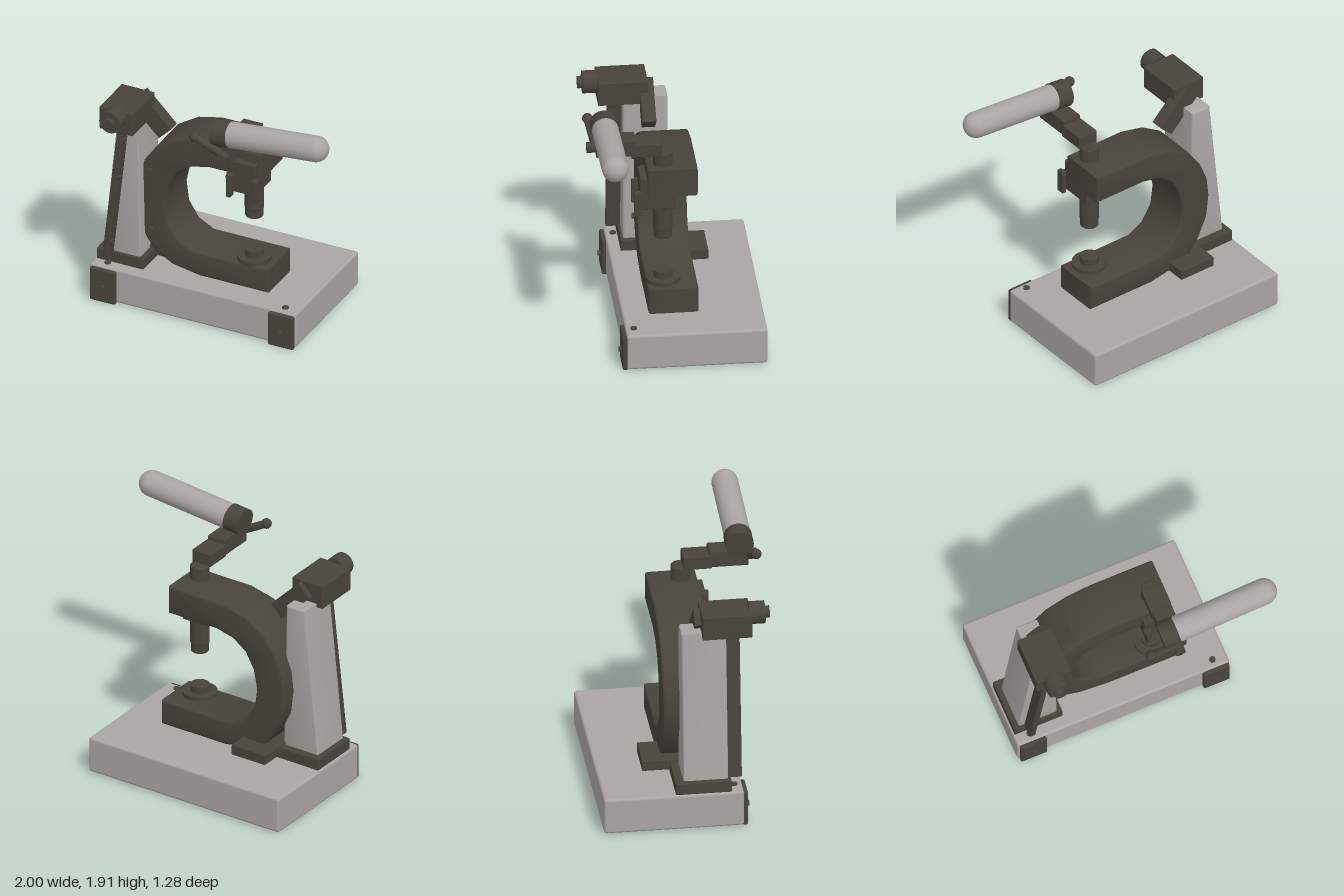
import * as THREE from 'three';
import { toCreasedNormals } from 'three/addons/utils/BufferGeometryUtils.js';
import { RoundedBoxGeometry } from 'three/addons/geometries/RoundedBoxGeometry.js';

export function createModel() {
  const group = new THREE.Group();
  const light = new THREE.MeshStandardMaterial({ color: 0xaaa5a2 });
  light.name = 'light grey';
  const dark = new THREE.MeshStandardMaterial({ color: 0x48433b });
  dark.name = 'dark grey';

  function add(name, geometry, material = dark) {
    const mesh = new THREE.Mesh(geometry, material);
    mesh.name = name;
    group.add(mesh);
    return mesh;
  }

  // Box given by its extents, with softly rounded edges
  function box(name, [x0, x1], [y0, y1], [z0, z1], material = dark, r = 0.006) {
    const mesh = add(name, new RoundedBoxGeometry(x1 - x0, y1 - y0, z1 - z0, 2, r), material);
    mesh.position.set((x0 + x1) / 2, (y0 + y1) / 2, (z0 + z1) / 2);
    return mesh;
  }

  // Cylinder running between two points
  function rod(name, a, b, r, material = dark, sides = 32) {
    const from = new THREE.Vector3(...a), to = new THREE.Vector3(...b);
    const axis = to.clone().sub(from);
    const mesh = add(name, new THREE.CylinderGeometry(r, r, axis.length(), sides), material);
    mesh.position.copy(from).add(to).multiplyScalar(0.5);
    mesh.quaternion.setFromUnitVectors(new THREE.Vector3(0, 1, 0), axis.normalize());
    return mesh;
  }

  // Front outline extruded between two depths with rounded edges
  function slab(name, points, z0, z1, material, bevel) {
    const shape = new THREE.Shape(points.map(p => new THREE.Vector2(...p)));
    const geometry = new THREE.ExtrudeGeometry(shape, {
      depth: z1 - z0 - 2 * bevel, bevelEnabled: true, bevelThickness: bevel,
      bevelSize: bevel, bevelOffset: -bevel, bevelSegments: 3
    });
    geometry.translate(0, 0, z0 + bevel);
    return add(name, toCreasedNormals(geometry, 0.6), material);
  }

  // Base with corner brackets and screws
  box('base', [-1, 0.68], [0.01, 0.29], [-0.64, 0.39], light, 0.02);
  for (const x of [-0.88, 0.567]) {
    box('cornerBracket', [x - 0.103, x + 0.103], [0.003, 0.275], [0.38, 0.42], dark, 0.012);
    rod('bracketScrew', [x, 0.13, 0.4], [x, 0.13, 0.44], 0.021, dark, 20);
    rod('baseScrew', [x, 0.28, 0.33], [x, 0.301, 0.33], 0.024, dark, 20);
  }

  // C-shaped frame, outer edge then inner edge
  slab('frame', [
    [0.36, 0.29], [0.36, 0.485], [-0.26, 0.485], [-0.38, 0.55], [-0.46, 0.675],
    [-0.48, 0.835], [-0.45, 0.985], [-0.38, 1.11], [-0.27, 1.19], [-0.125, 1.225],
    [0.30, 1.225], [0.30, 1.445], [-0.19, 1.445], [-0.385, 1.40], [-0.545, 1.30],
    [-0.65, 1.15], [-0.71, 1.0], [-0.727, 0.84], [-0.705, 0.66], [-0.63, 0.50],
    [-0.55, 0.40], [-0.42, 0.33], [-0.2, 0.29]
  ], -0.17, 0.2, dark, 0.018);
  for (const [x, y] of [[0.025, 1.325], [-0.605, 1.075], [-0.595, 0.585]]) {
    rod('frameBolt', [x, y, 0.19], [x, y, 0.222], 0.023, dark, 20);
  }
  box('frameFoot', [-0.655, -0.36], [0.322, 0.403], [-0.315, 0.12]);

  // Tapered column on its foot plate
  box('columnPlate', [-0.985, -0.605], [0.285, 0.377], [-0.11, 0.3]);
  slab('column', [[-0.945, 0.36], [-0.638, 0.36], [-0.663, 1.53], [-0.825, 1.53]],
    -0.05, 0.28, light, 0.015);

  // Slanted rail on the column, with side screws
  slab('rail', [[-0.9, 0.362], [-0.857, 0.362], [-0.735, 1.46], [-0.777, 1.46]],
    0.27, 0.385, dark, 0.006);
  for (const y of [0.49, 1.055, 1.375]) {
    const x = -0.857 + (y - 0.362) * 0.111;
    rod('railScrew', [x - 0.02, y, 0.342], [x + 0.016, y, 0.342], 0.021, dark, 16);
  }

  // Column head, knob and diagonal brace
  box('columnHead', [-0.88, -0.61], [1.5, 1.685], [0.1, 0.465]);
  rod('headKnob', [-0.745, 1.635, 0.45], [-0.745, 1.635, 0.57], 0.084);
  rod('knobPin', [-0.745, 1.635, 0.56], [-0.745, 1.635, 0.605], 0.045, dark, 24);
  const brace = add('brace', new THREE.BoxGeometry(0.34, 0.136, 0.1));
  brace.position.set(-0.622, 1.508, 0.105);
  brace.rotation.z = -Math.PI / 4;

  // Anvil
  const cx = 0.187, cz = 0.076;
  rod('anvilDisc', [cx, 0.475, cz], [cx, 0.515, cz], 0.128, dark, 40);
  rod('anvilPad', [cx, 0.51, cz], [cx, 0.567, cz], 0.07);

  // Ram: tip, shaft and the stub above the frame
  const profile = [[0, 0.845], [0.062, 0.845], [0.067, 0.85], [0.067, 0.913], [0.071, 0.918],
    [0.071, 1.548], [0.064, 1.556], [0, 1.556]].map(p => new THREE.Vector2(...p));
  const ram = add('ram', toCreasedNormals(new THREE.LatheGeometry(profile, 36), 0.5));
  ram.position.set(cx, 0, cz);

  // Ram guide with clamp tabs
  box('ramGuide', [0.065, 0.28], [1.112, 1.367], [-0.01, 0.25]);
  for (const x of [0.083, 0.292]) {
    box('clampTab', [x - 0.017, x + 0.017], [1.08, 1.265], [0.235, 0.297], dark, 0.004);
    rod('clampScrew', [x - 0.026, 1.24, 0.257], [x + 0.023, 1.24, 0.257], 0.028, dark, 20);
  }

  // Crank arm, pivot nut and release lever
  box('crankBoss', [0.107, 0.267], [1.545, 1.648], [0.09, 0.3]);
  box('crankArm', [0.113, 0.261], [1.552, 1.68], [0.28, 0.57]);
  rod('pivotNut', [cx, 1.607, 0.56], [cx, 1.607, 0.635], 0.04, dark, 24);
  const leverEnd = [-0.037, 1.725, 0.605];
  rod('lever', [cx, 1.607, 0.57], leverEnd, 0.03, dark, 20);
  const tip = add('leverTip', new THREE.SphereGeometry(0.039, 20, 14));
  tip.position.set(...leverEnd);

  // Tilted grip with collar and domed end
  const start = [0.2, 1.752, 0.5], end = [0.9, 1.815, 0.5];
  rod('handleCollar', [0.083, 1.741, 0.5], [0.208, 1.753, 0.5], 0.104, dark, 24);
  rod('handle', start, end, 0.098, light, 40);
  const dome = add('handleDome', new THREE.SphereGeometry(0.098, 36, 24), light);
  dome.position.set(...end);

  return group;
}
